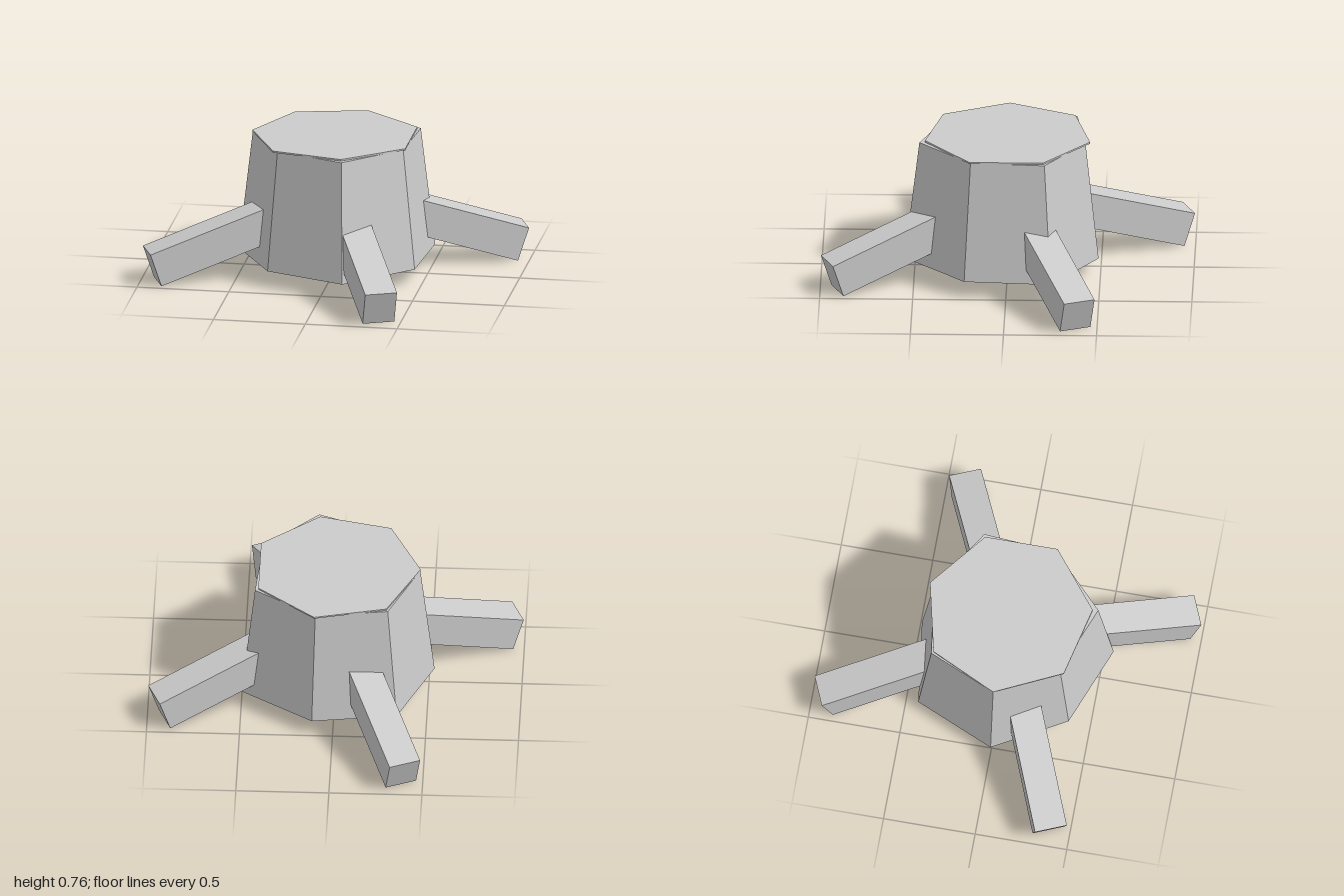
import * as THREE from 'three';

const SIDES = 7;
const STEP = (Math.PI * 2) / SIDES;
const START = -Math.PI / 2; // first corner points to -x

export function createModel() {
  const model = new THREE.Group();
  model.name = 'treeStump';
  const grey = new THREE.MeshStandardMaterial({ color: 0xcccccc, flatShading: true });
  grey.name = 'plain grey';

  const add = (parent, geometry, name) => {
    const mesh = new THREE.Mesh(geometry, grey);
    mesh.name = name;
    parent.add(mesh);
    return mesh;
  };

  // Trunk: tapered seven-sided drum with uneven corner radii
  const radii = [0.53, 0.494, 0.568, 0.517, 0.555, 0.502, 0.548];
  const trunk = new THREE.CylinderGeometry(0.855, 1, 0.66, SIDES, 1, false, START);
  const p = trunk.attributes.position;
  for (let i = 0; i < p.count; i++) {
    const angle = Math.atan2(p.getX(i), p.getZ(i)) - START;
    const corner = (Math.round(angle / STEP) + SIDES) % SIDES;
    p.setX(i, p.getX(i) * radii[corner]);
    p.setZ(i, p.getZ(i) * radii[corner]);
  }
  trunk.computeVertexNormals();
  add(model, trunk, 'trunk').position.y = 0.42;

  // Cut top: thin regular plate slightly overhanging the trunk
  add(model, new THREE.CylinderGeometry(0.455, 0.455, 0.009, SIDES, 1, false, START), 'cutTop')
    .position.y = 0.7545;

  // Roots: four sloping beams whose lower outer edge rests on the ground
  const length = 0.7, height = 0.19, width = 0.175;
  for (let i = 0; i < 4; i++) {
    const root = new THREE.Group();
    root.name = 'root' + (i + 1);
    root.rotation.y = 0.4 + (i * Math.PI) / 2;
    const beam = new THREE.BoxGeometry(length, height, width);
    beam.translate(-length / 2, -height / 2, 0); // pivot on the top outer edge
    const mesh = add(root, beam, 'rootBeam');
    mesh.position.set(1.045, 0.18, 0);
    mesh.rotation.z = -0.325;
    model.add(root);
  }
  return model;
}
